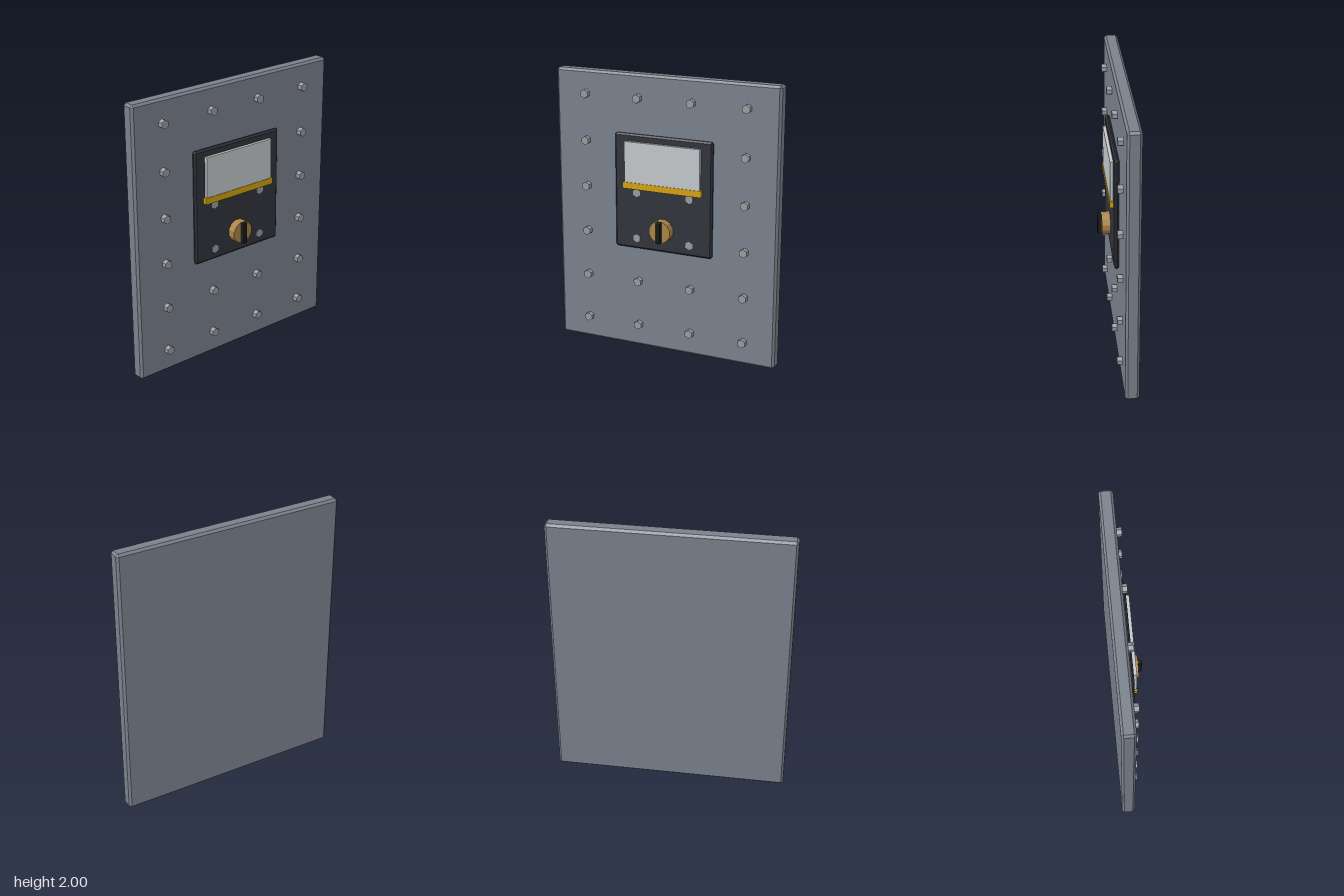
import * as THREE from 'three';
import { ConvexGeometry } from 'three/addons/geometries/ConvexGeometry.js';

const mat = (color) => new THREE.MeshStandardMaterial({ color, flatShading: true });

// Box with every edge chamfered by c
function chamferBox(w, h, d, c) {
  const points = [];
  for (const x of [-w / 2, w / 2]) for (const y of [-h / 2, h / 2]) for (const z of [-d / 2, d / 2]) {
    const ix = x - Math.sign(x) * c, iy = y - Math.sign(y) * c, iz = z - Math.sign(z) * c;
    points.push(new THREE.Vector3(x, iy, iz), new THREE.Vector3(ix, y, iz), new THREE.Vector3(ix, iy, z));
  }
  return new ConvexGeometry(points);
}

// Cylinder whose axis runs along z
const disc = (r, depth, sides, turn = 0) =>
  new THREE.CylinderGeometry(r, r, depth, sides, 1, false, turn).rotateX(Math.PI / 2);

export function createModel() {
  const model = new THREE.Group();
  const add = (name, geometry, material, x, y, z, parent = model) => {
    const mesh = new THREE.Mesh(geometry, material);
    mesh.name = name;
    mesh.position.set(x, y, z);
    parent.add(mesh);
  };

  // Large panel
  add('panel', chamferBox(1.664, 2, 0.096, 0.016), mat(0x7a818c), 0, 1, -0.059);

  // Grid of hexagonal bolts
  const bolts = new THREE.Group();
  bolts.name = 'bolts';
  model.add(bolts);
  const boltGeometry = disc(0.031, 0.046, 6);
  const boltMaterial = mat(0x989ca1);
  for (const x of [-0.6, -0.2, 0.2, 0.6]) {
    for (let row = 0; row < 6; row++) add('bolt', boltGeometry, boltMaterial, x, 0.168 + row * 0.3333, 0.002);
  }
  model.children.filter((m) => m.name === 'bolt').forEach((m) => bolts.add(m));

  // Dark mounting plate
  add('mountingPlate', chamferBox(0.734, 0.828, 0.034, 0.012), mat(0x30333b), 0, 1.171, 0.005);

  // Pale sign with a yellow strip along its lower edge
  add('sign', new THREE.BoxGeometry(0.566, 0.33, 0.03), mat(0xc4c8ca), 0, 1.369, 0.029);
  add('signStrip', new THREE.BoxGeometry(0.592, 0.046, 0.032), mat(0xd2a210), 0, 1.221, 0.032);

  // Brass knob and its dark grip
  add('knob', disc(0.081, 0.07, 12, Math.PI / 12), mat(0xab8446), 0, 0.921, 0.046);
  add('knobGrip', chamferBox(0.032, 0.155, 0.05, 0.004), mat(0x1c1d20), 0, 0.921, 0.083);

  return model;
}
